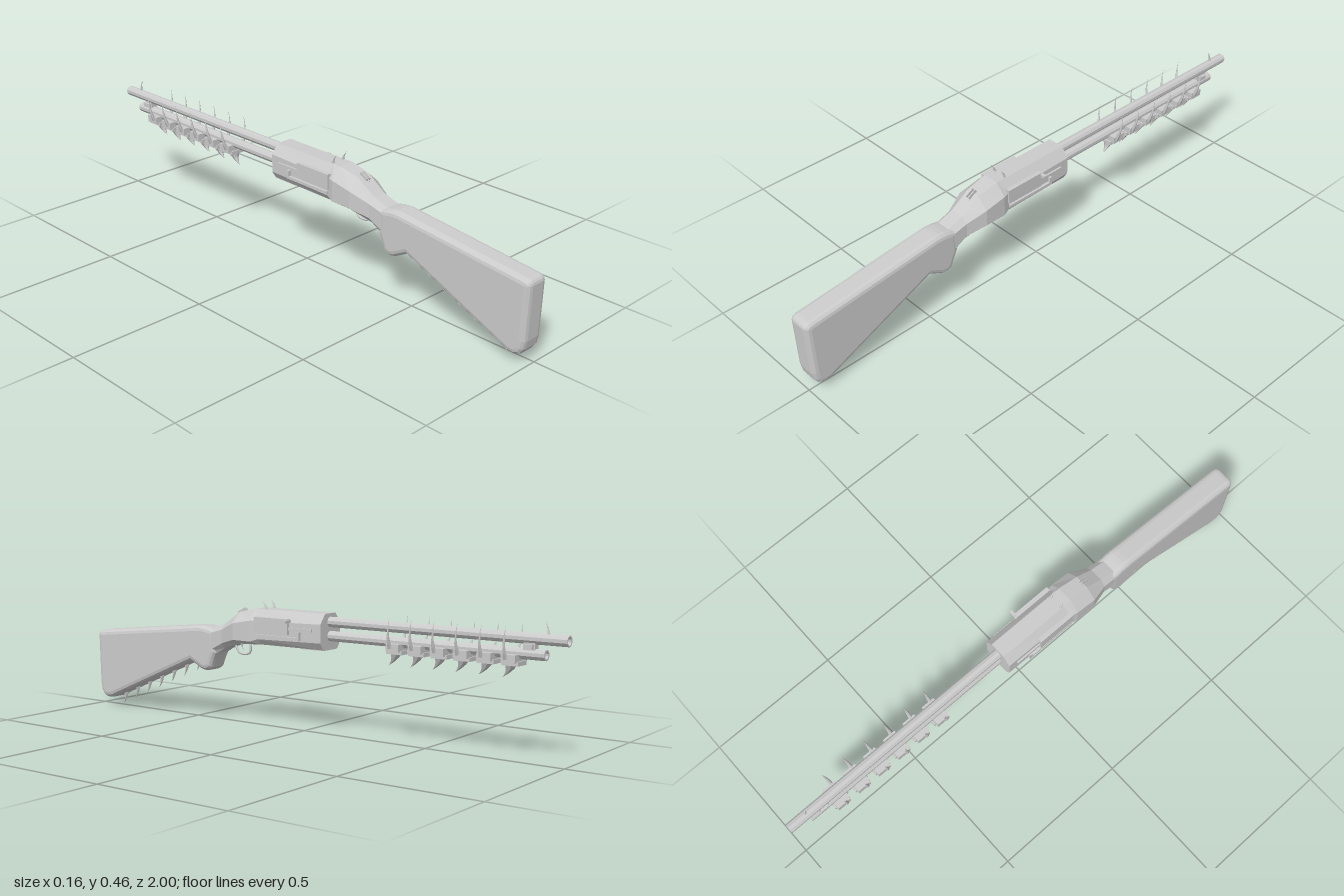
import * as THREE from 'three';

const mat = new THREE.MeshStandardMaterial({ color: 0xcccccc, flatShading: true });
const matDouble = new THREE.MeshStandardMaterial({ color: 0xcccccc, flatShading: true, side: THREE.DoubleSide });

export function createModel() {
  const root = new THREE.Group();
  root.name = 'spikedShotgun';
  const gun = new THREE.Group();
  gun.name = 'gun';
  gun.position.x = -0.01;
  root.add(gun);

  function add(name, geo, pos = [0, 0, 0], rot = [0, 0, 0], material = mat) {
    const m = new THREE.Mesh(geo, material);
    m.name = name;
    m.position.set(...pos);
    m.rotation.set(...rot);
    gun.add(m);
    return m;
  }
  const box = (name, w, h, d, pos, rot) => add(name, new THREE.BoxGeometry(w, h, d), pos, rot);

  // Cone bent by a square law; base at the origin, tip up, shifted by bx / bz
  function claw(len, r, bx, bz) {
    const g = new THREE.ConeGeometry(r, len, 6, 5);
    g.translate(0, len / 2, 0);
    const p = g.attributes.position;
    for (let i = 0; i < p.count; i++) {
      const t = p.getY(i) / len;
      p.setX(i, p.getX(i) + bx * t * t);
      p.setZ(i, p.getZ(i) + bz * t * t);
    }
    g.computeVertexNormals();
    return g;
  }

  // Octagonal sections joined along z, with end caps
  function loftOctagons(sections) {
    const rings = sections.map(([z, wt, top, w, hi, lo, wb, bot]) => [
      [wt, top], [-wt, top], [-w, hi], [-w, lo], [-wb, bot], [wb, bot], [w, lo], [w, hi],
    ].map(([x, y]) => [x, y, z]));
    const v = [];
    const tri = (a, b, c) => v.push(...a, ...b, ...c);
    for (let i = 0; i < rings.length - 1; i++) {
      for (let j = 0; j < 8; j++) {
        const k = (j + 1) % 8;
        const [a, b, c, d] = [rings[i][j], rings[i][k], rings[i + 1][k], rings[i + 1][j]];
        tri(a, b, c);
        tri(a, c, d);
      }
    }
    const first = rings[0], last = rings[rings.length - 1];
    for (let j = 1; j < 7; j++) {
      tri(first[0], first[j + 1], first[j]);
      tri(last[0], last[j], last[j + 1]);
    }
    const g = new THREE.BufferGeometry();
    g.setAttribute('position', new THREE.Float32BufferAttribute(v, 3));
    g.computeVertexNormals();
    return g;
  }

  // Hollow tube running along -z
  function pipe(name, r, inner, y, z0, z1, depth) {
    const len = z0 - z1;
    const pts = [[r, 0], [r, len], [inner, len], [inner, len - depth], [0, len - depth]];
    add(name, new THREE.LatheGeometry(pts.map((p) => new THREE.Vector2(...p)), 10),
      [0, y, z0], [-Math.PI / 2, 0, 0], matDouble);
  }

  // Stock: side profile (z, y) with rounded edges
  const s = new THREE.Shape();
  s.moveTo(0.975, 0.3);
  s.lineTo(0.475, 0.352);
  s.quadraticCurveTo(0.44, 0.355, 0.39, 0.34);
  s.lineTo(0.385, 0.255);
  s.quadraticCurveTo(0.4, 0.23, 0.41, 0.2);
  s.quadraticCurveTo(0.43, 0.178, 0.46, 0.19);
  s.lineTo(0.51, 0.216);
  s.lineTo(0.93, 0.036);
  s.quadraticCurveTo(0.99, 0.02, 0.995, 0.09);
  s.lineTo(1.0, 0.28);
  s.quadraticCurveTo(0.998, 0.298, 0.975, 0.3);
  const bevel = 0.02;
  const stock = new THREE.ExtrudeGeometry(s, {
    depth: 0.09 - 2 * bevel, bevelEnabled: true, bevelSize: bevel, bevelThickness: bevel,
    bevelOffset: -bevel, bevelSegments: 3, curveSegments: 4,
  });
  stock.translate(0, 0, -0.025);
  add('stock', stock, [0, 0, 0], [0, -Math.PI / 2, 0]);

  // Row of hooked spikes under the stock
  for (let i = 0; i < 7; i++) {
    const z = 0.505 + i * 0.065;
    const y = 0.216 - (z - 0.51) * 0.4286 + 0.006;
    add('stockSpike', claw(0.05, 0.009, 0, -0.016), [0, y, z - 0.006], [Math.PI, 0, 0]);
  }

  // Receiver and wrist
  add('receiver', loftOctagons([
    // z, top half width, top, half width, side top, side bottom, bottom half width, bottom
    [-0.105, 0.03, 0.43, 0.058, 0.395, 0.33, 0.042, 0.305],
    [0.17, 0.03, 0.43, 0.06, 0.39, 0.325, 0.045, 0.305],
    [0.2, 0.03, 0.43, 0.068, 0.39, 0.315, 0.045, 0.303],
    [0.28, 0.026, 0.413, 0.068, 0.375, 0.315, 0.045, 0.3],
    [0.35, 0.025, 0.366, 0.046, 0.345, 0.295, 0.03, 0.275],
    [0.42, 0.025, 0.343, 0.043, 0.325, 0.26, 0.03, 0.235],
  ]));
  box('lowerFrontBlock', 0.08, 0.02, 0.1, [0, 0.312, -0.053]);

  // Raised frames on both sides of the receiver
  for (const side of [-1, 1]) {
    const x = side * 0.062;
    box('sidePlate', 0.016, 0.054, 0.15, [x - side * 0.001, 0.378, 0.105]);
    box('lowerRail', 0.014, 0.01, 0.19, [x, 0.338, 0.08]);
    box('railFront', 0.014, 0.03, 0.01, [x, 0.348, -0.015]);
    box('forwardRail', 0.012, 0.01, 0.1, [x - side * 0.003, 0.372, -0.02]);
  }
  box('boltHandle', 0.04, 0.008, 0.012, [0.068, 0.397, 0.03]);

  // Rear sight
  for (const x of [-0.006, 0.006]) box('rearSight', 0.004, 0.02, 0.035, [x, 0.41, 0.285], [0.5, 0, 0]);
  box('rearSightBase', 0.017, 0.012, 0.035, [0, 0.402, 0.285], [0.5, 0, 0]);

  // Trigger guard and trigger
  const guard = new THREE.CatmullRomCurve3([
    [0.25, 0.305], [0.255, 0.265], [0.275, 0.257], [0.305, 0.262], [0.322, 0.285], [0.33, 0.295],
  ].map(([z, y]) => new THREE.Vector3(0, y, z)));
  add('triggerGuard', new THREE.TubeGeometry(guard, 16, 0.0045, 6));
  add('trigger', claw(0.035, 0.006, 0, 0.012), [0, 0.302, 0.295], [Math.PI, 0, 0]);

  // Barrel, magazine tube and the bracket that joins them
  pipe('barrel', 0.018, 0.013, 0.4, -0.09, -1.0, 0.2);
  pipe('magazineTube', 0.018, 0.012, 0.351, -0.09, -0.925, 0.01);
  box('barrelBracket', 0.024, 0.05, 0.04, [0, 0.375, -0.87]);
  box('bracketClamp', 0.046, 0.014, 0.03, [0, 0.375, -0.87]);

  // Spiked foregrip segments
  for (let i = 0; i < 6; i++) {
    const z = -0.385 - i * 0.0855;
    box('foregripSegment', 0.082, 0.026, 0.05, [0, 0.335, z]);
    box('foregripBase', 0.056, 0.014, 0.06, [0, 0.319, z]);
    add('foregripHook', claw(0.048, 0.024, 0, -0.03), [0, 0.318, z + 0.008], [Math.PI, 0, 0]);
    for (const side of [-1, 1]) {
      add('foregripClaw', claw(0.1, 0.008, -side * 0.034, -0.01),
        [side * 0.038, 0.335, z + 0.01], [0, 0, -side * 0.5]);
    }
  }

  // Spikes on the receiver and at the muzzle
  for (const x of [-0.024, 0.024]) add('receiverSpike', claw(0.04, 0.007, 0, 0.02), [x, 0.423, 0.158]);
  add('muzzleSpike', claw(0.05, 0.006, 0, 0.012), [0, 0.41, -0.93]);

  return root;
}
